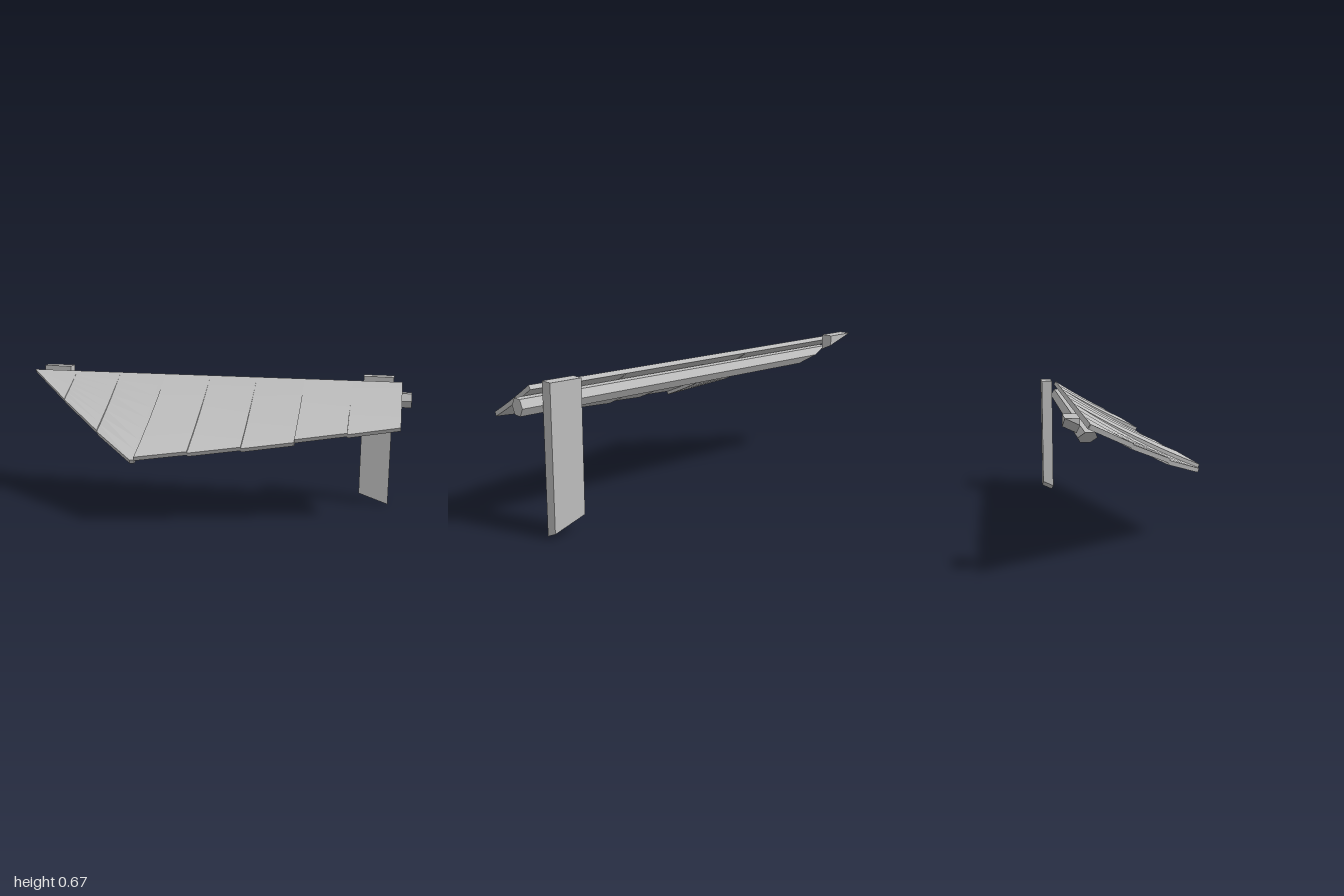
import * as THREE from 'three';

const BACK_Z = -0.257;
const HALF_THICKNESS = 0.0105;
const STEPS = 8;

// Recompute normals per face for crisp flat sides
function faceted(geometry) {
  const g = geometry.index ? geometry.toNonIndexed() : geometry;
  g.computeVertexNormals();
  return g;
}

// Front limit of the roof outline at a given x
function frontZ(x) {
  const leftEdge = -0.255 + (x + 1) * 0.838;
  const frontEdge = 0.34 - (x + 0.265) * 0.251;
  return Math.max(BACK_Z + 0.003, Math.min(leftEdge, frontEdge));
}

// Point on the gently sagging roof, shifted along its normal
function roofPoint(x, z, level, side) {
  const y = 0.493 - 0.535 * z + 0.2 * z * z;
  const slope = -0.535 + 0.4 * z;
  const len = Math.hypot(1, slope);
  const spread = THREE.MathUtils.clamp((z - BACK_Z) / 0.36, 0, 1);
  const d = level * 0.0085 * spread + side * HALF_THICKNESS;
  return [x, y + d / len, z - (d * slope) / len];
}

// One closed plank, running from the ridge to the outline
function plankGeometry(columns, level) {
  const positions = [];
  const quad = (a, b, c, d) => positions.push(...a, ...b, ...c, ...a, ...c, ...d);
  const p = (i, j, side) => {
    const x = columns[i];
    return roofPoint(x, THREE.MathUtils.lerp(BACK_Z, frontZ(x), j / STEPS), level, side);
  };
  const n = columns.length - 1;
  for (let i = 0; i < n; i++) {
    for (let j = 0; j < STEPS; j++) {
      quad(p(i, j, 1), p(i, j + 1, 1), p(i + 1, j + 1, 1), p(i + 1, j, 1));
      quad(p(i, j, -1), p(i + 1, j, -1), p(i + 1, j + 1, -1), p(i, j + 1, -1));
    }
    // front and back ends
    quad(p(i, STEPS, -1), p(i + 1, STEPS, -1), p(i + 1, STEPS, 1), p(i, STEPS, 1));
    quad(p(i, 0, -1), p(i, 0, 1), p(i + 1, 0, 1), p(i + 1, 0, -1));
  }
  // long sides
  for (let j = 0; j < STEPS; j++) {
    quad(p(0, j, -1), p(0, j + 1, -1), p(0, j + 1, 1), p(0, j, 1));
    quad(p(n, j, -1), p(n, j, 1), p(n, j + 1, 1), p(n, j + 1, -1));
  }
  const g = new THREE.BufferGeometry();
  g.setAttribute('position', new THREE.Float32BufferAttribute(positions, 3));
  return faceted(g);
}

// Upright with an obliquely cut foot; footY is its lowest corner
function postGeometry(xMin, xMax, top, footY) {
  const g = new THREE.BoxGeometry(xMax - xMin, 1, 0.058);
  g.translate((xMin + xMax) / 2, 0, -0.315);
  const pos = g.attributes.position;
  for (let i = 0; i < pos.count; i++) {
    const cut = footY + (xMax - pos.getX(i)) * 0.34 + (-0.286 - pos.getZ(i)) * 0.47;
    pos.setY(i, pos.getY(i) > 0 ? top : cut);
  }
  return faceted(g);
}

// Hexagonal beam with its far end cut at a slant
function beamGeometry() {
  const g = new THREE.CylinderGeometry(0.041, 0.041, 2, 6);
  g.rotateZ(-Math.PI / 2);
  const pos = g.attributes.position;
  for (let i = 0; i < pos.count; i++) {
    pos.setX(i, pos.getX(i) > 0 ? 1 : -0.77 - pos.getY(i) * 2.86);
  }
  g.translate(0, 0.566, -0.238);
  return faceted(g);
}

export function createModel() {
  const group = new THREE.Group();
  const grey = new THREE.MeshStandardMaterial({ color: 0xc0c0c0 });
  grey.name = 'grey';
  const add = (name, geometry, parent = group) => {
    const mesh = new THREE.Mesh(geometry, grey);
    mesh.name = name;
    parent.add(mesh);
  };

  // Roof planks in a repeating high, middle, low rhythm
  const roof = new THREE.Group();
  roof.name = 'roof';
  group.add(roof);
  const seams = [-1, -0.76, -0.515, -0.267, -0.025, 0.22, 0.465, 0.707, 0.952];
  for (let k = 0; k < 8; k++) {
    const columns = [seams[k], seams[k + 1]];
    if (k === 2) columns.splice(1, 0, -0.289); // blunt tip
    add('plank' + (k + 1), plankGeometry(columns, 1 - (k % 3)), roof);
  }

  // Supports
  add('beam', beamGeometry());
  add('tallPost', postGeometry(0.76, 0.91, 0.67, 0.002));
  add('shortPost', postGeometry(-0.96, -0.81, 0.67, 0.592));
  return group;
}
